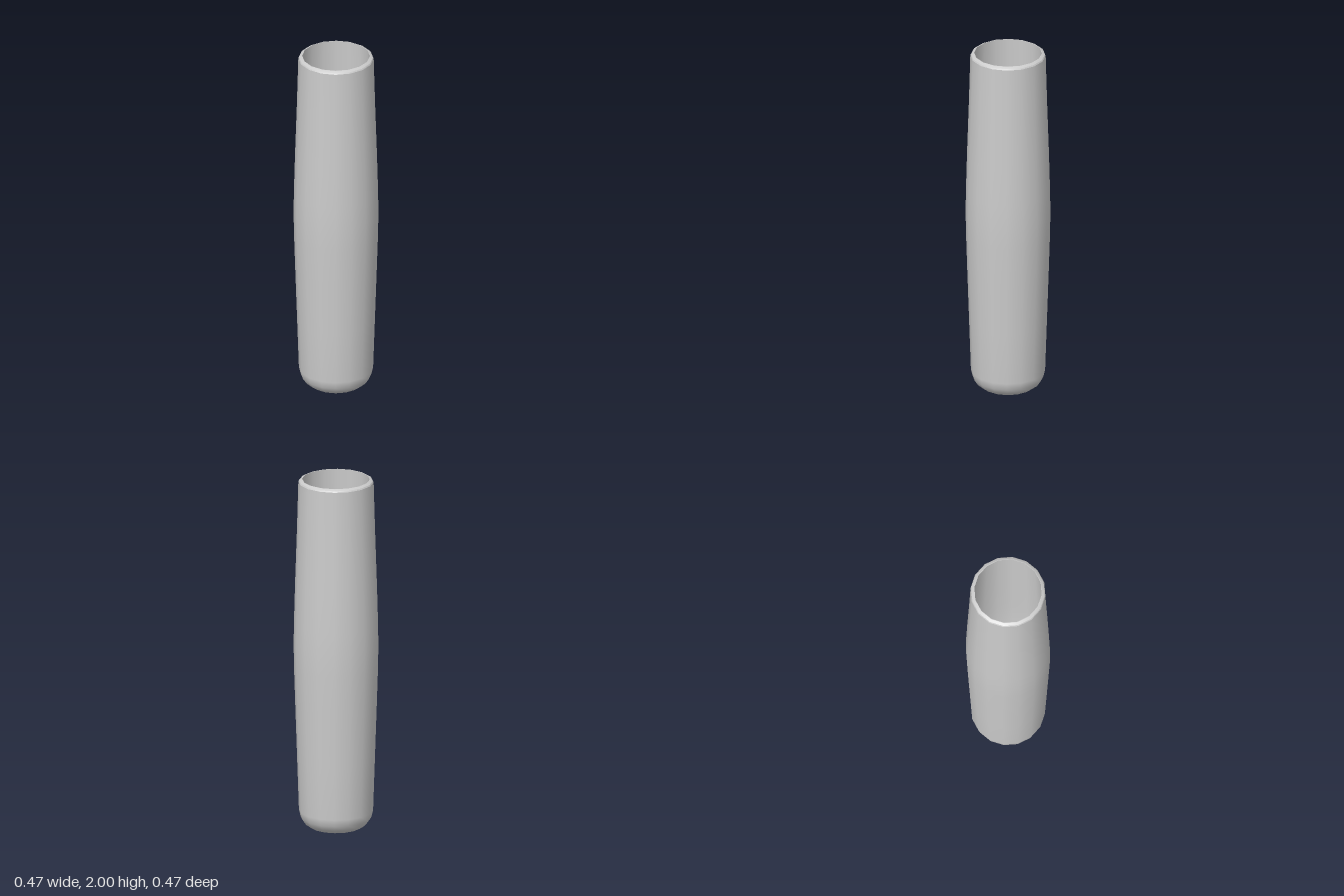
import * as THREE from 'three';

const SIDES = 16;

// Lathe of [radius, height] points, facing outward when the profile runs upward
function turned(name, points) {
  const material = new THREE.MeshStandardMaterial({ color: 0xcccccc });
  const profile = points.map(([r, y]) => new THREE.Vector2(r, y));
  const mesh = new THREE.Mesh(new THREE.LatheGeometry(profile, SIDES), material);
  mesh.name = name;
  return mesh;
}

export function createModel() {
  const group = new THREE.Group();
  group.name = 'hollowSleeve';

  // Gently bulging side walls
  const wall = [
    [0.204, 0.1], [0.214, 0.4], [0.224, 0.7], [0.231, 0.92], [0.233, 1.05],
    [0.231, 1.18], [0.225, 1.4], [0.215, 1.7], [0.207, 1.985],
  ];

  // Outer shell with rounded, closed bottom
  group.add(turned('outerShell', [
    [0, 0], [0.11, 0], [0.145, 0.008], [0.175, 0.03], [0.195, 0.06], ...wall,
  ]));

  // Bevelled lip around the opening
  group.add(turned('rimBevel', [[0.207, 1.985], [0.203, 1.992]]));
  group.add(turned('rim', [[0.203, 1.992], [0.19, 2], [0.186, 2]]));

  // Inner cavity, running down from the rim to a rounded floor
  const inner = wall.slice(0, -1).map(([r, y]) => [r - 0.02, y]).reverse();
  group.add(turned('innerCavity', [
    [0.186, 2], ...inner, [0.175, 0.07], [0.155, 0.042], [0.13, 0.027], [0.1, 0.02], [0, 0.02],
  ]));

  return group;
}
